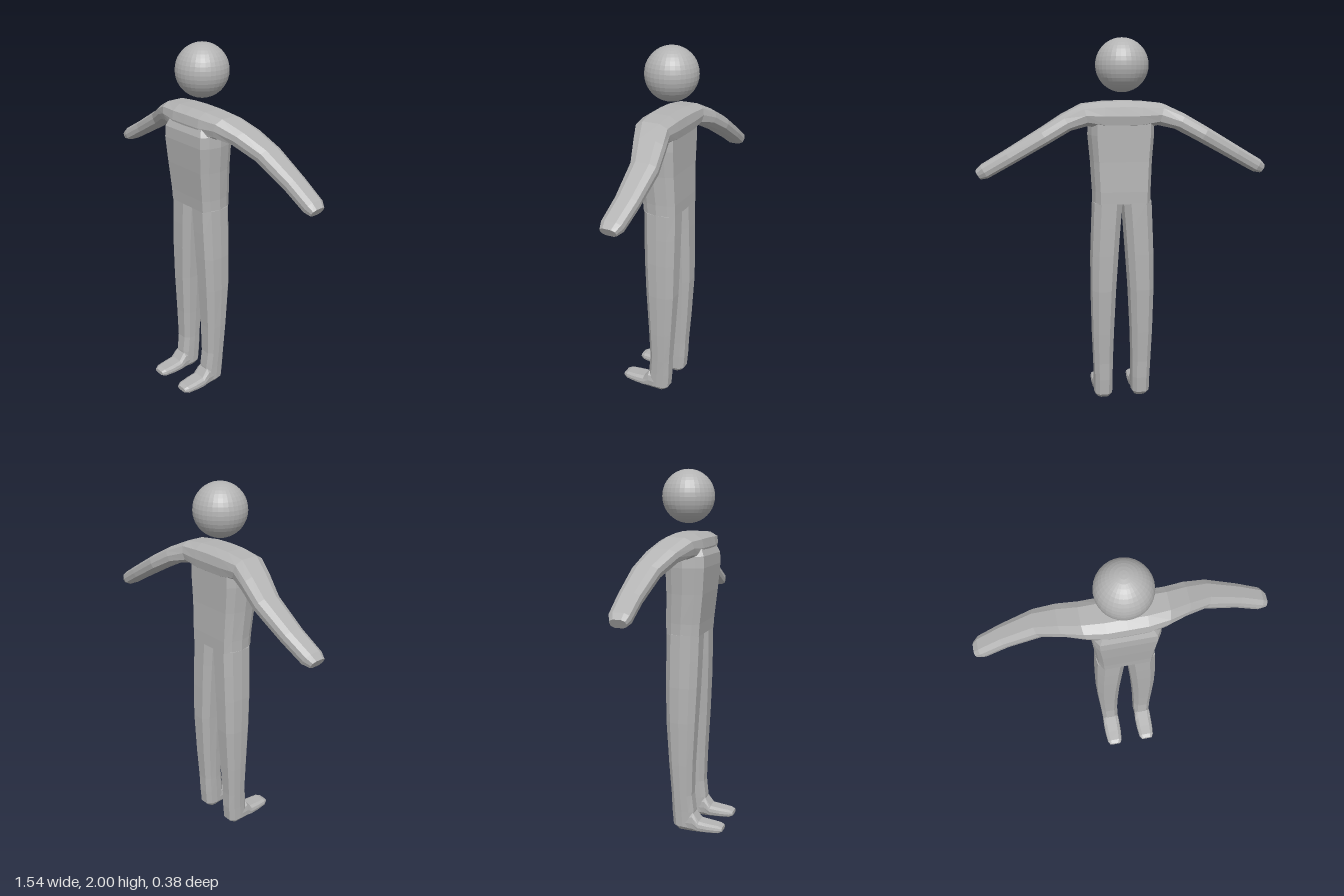
import * as THREE from 'three';

const grey = new THREE.MeshStandardMaterial({ color: 0xb3b3b3 });
const X = new THREE.Vector3(1, 0, 0);
const Y = new THREE.Vector3(0, 1, 0);
const Z = new THREE.Vector3(0, 0, 1);
const BACK = new THREE.Vector3(0, 0, -1);

// Ten-sided bevelled section: half-size a along u (ridged sides), b along v (flat sides of share k)
function section(center, u, v, a, b, k = 0.5) {
  const unit = [[1, 0], [0.92, 0.62], [k, 1], [-k, 1], [-0.92, 0.62],
    [-1, 0], [-0.92, -0.62], [-k, -1], [k, -1], [0.92, -0.62]];
  return unit.map(([p, q]) => center.clone().addScaledVector(u, p * a).addScaledVector(v, q * b));
}

// Faceted mesh
function facetedMesh(name, geometry) {
  const flat = geometry.index ? geometry.toNonIndexed() : geometry;
  flat.computeVertexNormals();
  const mesh = new THREE.Mesh(flat, grey);
  mesh.name = name;
  return mesh;
}

// Skin between sections, capped at both ends; u x v points along the direction of travel
function loft(name, rings) {
  const points = [];
  const n = rings[0].length;
  for (let r = 0; r < rings.length - 1; r++) {
    for (let i = 0; i < n; i++) {
      const j = (i + 1) % n;
      const [a, b, c, d] = [rings[r][i], rings[r][j], rings[r + 1][j], rings[r + 1][i]];
      points.push(a, b, c, a, c, d);
    }
  }
  const mid = (ring) => ring.reduce((s, p) => s.add(p), new THREE.Vector3()).divideScalar(n);
  const first = rings[0];
  const last = rings[rings.length - 1];
  for (let i = 0; i < n; i++) {
    const j = (i + 1) % n;
    points.push(mid(first), first[j], first[i], mid(last), last[i], last[j]);
  }
  return facetedMesh(name, new THREE.BufferGeometry().setFromPoints(points));
}

// Torso: y, half width, front z, back z
function makeTorso() {
  const rows = [
    [1.135, 0.162, 0.05, -0.135],
    [1.2, 0.162, 0.055, -0.135],
    [1.36, 0.17, 0.073, -0.13],
    [1.5, 0.182, 0.084, -0.13],
    [1.56, 0.18, 0.082, -0.13],
    [1.62, 0.15, 0.055, -0.115],
  ];
  return loft('torso', rows.map(([y, w, f, b]) =>
    section(new THREE.Vector3(0, y, (f + b) / 2), X, BACK, w, (f - b) / 2, 0.78)));
}

// Shoulders and both arms in one sweep: x, y, z, half height, half depth, slope
function makeArms() {
  const half = [
    [0.1, 1.6, -0.036, 0.073, 0.105, -0.03],
    [0.2, 1.605, -0.045, 0.058, 0.096, -0.25],
    [0.3, 1.57, -0.082, 0.046, 0.088, -0.5],
    [0.42, 1.503, -0.12, 0.043, 0.074, -0.53],
    [0.6, 1.4, -0.128, 0.039, 0.062, -0.53],
    [0.725, 1.329, -0.122, 0.037, 0.057, -0.53],
    [0.758, 1.311, -0.118, 0.025, 0.043, -0.53],
  ];
  const mirrored = half.map(([x, y, z, h, d, t]) => [-x, y, z, h, d, -t]).reverse();
  const rows = [...mirrored, [0, 1.6, -0.035, 0.076, 0.105, 0], ...half];
  return loft('shouldersAndArms', rows.map(([x, y, z, h, d, t]) =>
    section(new THREE.Vector3(x, y, z), Z, new THREE.Vector3(Math.sin(t), -Math.cos(t), 0), d, h)));
}

// Leg: y, outer x, inner x, front z, back z
function makeLeg(side, name) {
  const rows = [
    [0.006, 0.14, 0.07, 0.0, -0.075],
    [0.03, 0.158, 0.055, 0.025, -0.098],
    [0.12, 0.16, 0.053, 0.023, -0.105],
    [0.22, 0.164, 0.052, 0.012, -0.108],
    [0.4, 0.171, 0.046, 0.018, -0.12],
    [0.65, 0.176, 0.034, 0.032, -0.134],
    [0.85, 0.174, 0.02, 0.042, -0.136],
    [1.0, 0.168, 0.009, 0.047, -0.136],
    [1.14, 0.162, -0.003, 0.05, -0.135],
  ];
  return loft(name, rows.map(([y, o, i, f, b]) =>
    section(new THREE.Vector3(side * (o + i) / 2, y, (f + b) / 2), X, BACK, (o - i) / 2, (f - b) / 2)));
}

// Foot: z, half width, bottom y, top y
function makeFoot(side, name) {
  const rows = [
    [-0.06, 0.048, 0.004, 0.1],
    [0.02, 0.052, 0.004, 0.115],
    [0.055, 0.053, 0.006, 0.068],
    [0.11, 0.052, 0.009, 0.062],
    [0.168, 0.046, 0.013, 0.057],
    [0.19, 0.034, 0.023, 0.047],
  ];
  return loft(name, rows.map(([z, w, b, t]) =>
    section(new THREE.Vector3(side * 0.107, (b + t) / 2, z), X, Y, w, (t - b) / 2, 0.6)));
}

export function createModel() {
  const model = new THREE.Group();
  model.name = 'figure';

  // Floating round head
  const head = facetedMesh('head', new THREE.SphereGeometry(0.14, 32, 20));
  head.position.set(0, 1.86, -0.05);
  model.add(head, makeTorso(), makeArms());

  // Mirrored legs and feet
  for (const [side, label] of [[1, 'left'], [-1, 'right']]) {
    model.add(makeLeg(side, `${label}Leg`), makeFoot(side, `${label}Foot`));
  }
  return model;
}
